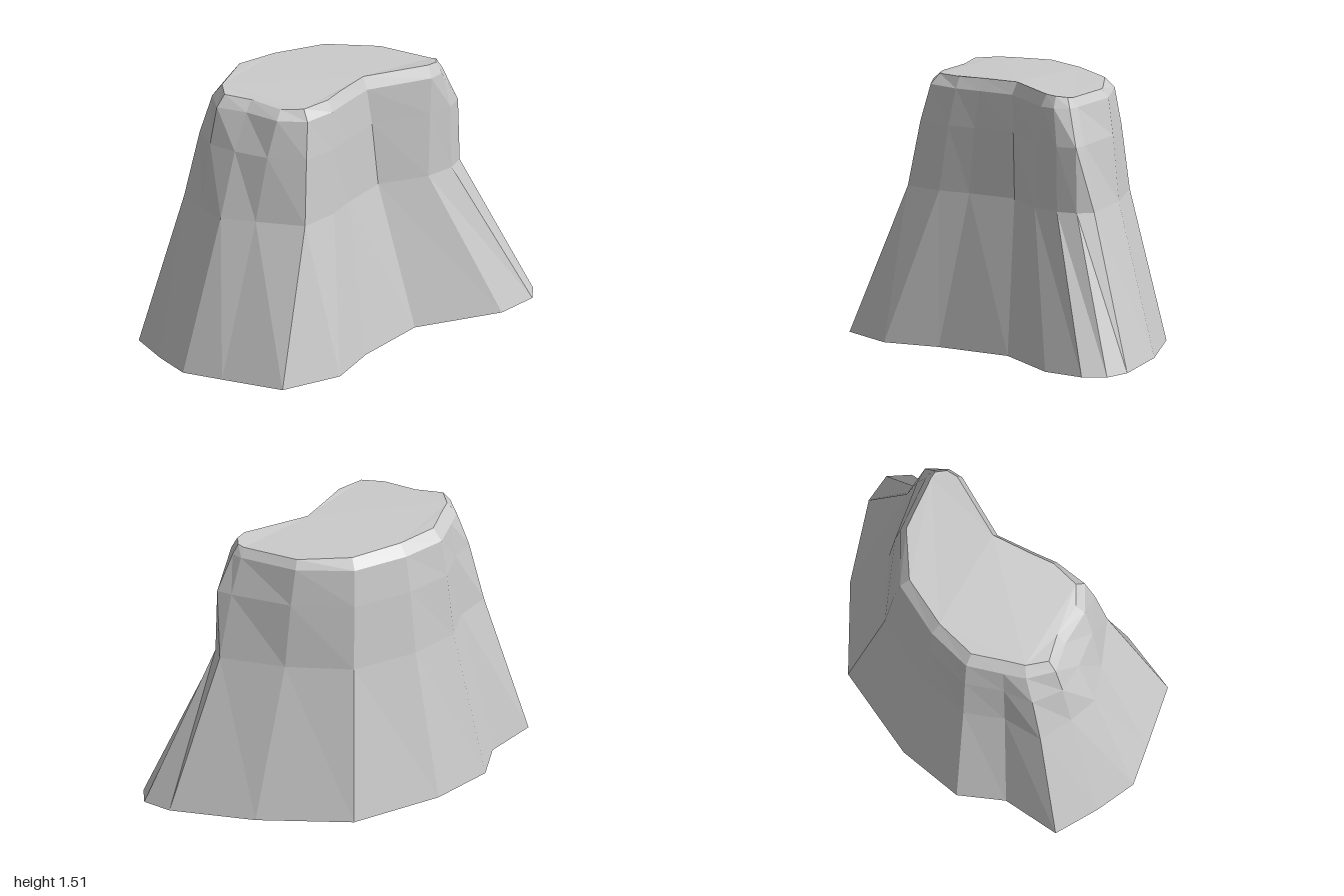
import * as THREE from 'three';

// Horizontal outlines of the rock, [x, z] pairs from the back right clockwise (seen from above)
const base = [[0.62, -1], [0.79, -0.96], [0.85, -0.83], [0.79, -0.57], [0.45, -0.16], [0.38, 0.31],
  [0.39, 0.65], [0.19, 0.97], [-0.18, 0.99], [-0.42, 1], [-0.63, 0.87], [-0.85, 0.7],
  [-0.77, 0.37], [-0.84, 0.1], [-0.71, -0.27], [-0.39, -0.73], [0.13, -0.92]];
const waist = [[0.44, -0.7], [0.5, -0.62], [0.51, -0.5], [0.45, -0.33], [0.25, -0.1], [0.22, 0.2],
  [0.22, 0.39], [0.155, 0.62], [-0.12, 0.69], [-0.32, 0.73], [-0.48, 0.65], [-0.65, 0.53],
  [-0.61, 0.3], [-0.66, 0.07], [-0.55, -0.22], [-0.31, -0.54], [0.06, -0.66]];
const rim = [[0.37, -0.56], [0.43, -0.54], [0.47, -0.46], [0.45, -0.37], [0.2, -0.06], [0.18, 0.16],
  [0.17, 0.31], [0.11, 0.5], [-0.05, 0.565], [-0.26, 0.53], [-0.44, 0.54], [-0.54, 0.4],
  [-0.56, 0.27], [-0.59, 0.06], [-0.48, -0.19], [-0.28, -0.46], [0.03, -0.58]];
const n = base.length;

// Shoulder lies between waist and rim; its back right corner stays steep
const shoulder = waist.map(([x, z], i) => {
  const t = i === 1 || i === 2 ? 0.1 : 0.55;
  return [x + (rim[i][0] - x) * t, z + (rim[i][1] - z) * t];
});

// Top edge is the rim moved inward, across the line joining its neighbours
const top = rim.map(([x, z], i) => {
  const [px, pz] = rim[(i + n - 1) % n];
  const [qx, qz] = rim[(i + 1) % n];
  const inset = (x < 0 || z > 0.4 ? 0.055 : 0.035) / Math.hypot(qx - px, qz - pz);
  return [x - (qz - pz) * inset, z + (qx - px) * inset];
});

function rockGeometry() {
  const lift = (outline, y) => outline.map(([x, z]) => [x, y, z]);
  const rings = [lift(base, 0), lift(waist, 0.86), lift(shoulder, 1.23), lift(rim, 1.44),
    // Slightly uneven top, highest on the left side
    top.map(([x, z], i) => [x, 1.49 + 0.02 * Math.abs(Math.sin(i * Math.PI / 8)), z])];
  const verts = [];
  const tri = (a, b, c) => verts.push(...a, ...b, ...c);

  // Faceted sides
  for (let s = 0; s < rings.length - 1; s++) {
    for (let i = 0; i < n; i++) {
      const j = (i + 1) % n;
      const [a, b, c, d] = [rings[s][i], rings[s][j], rings[s + 1][j], rings[s + 1][i]];
      tri(a, d, c);
      tri(a, c, b);
    }
  }

  // Underside and top
  const cap = (ring, up) => {
    const outline = ring.map(([x, , z]) => new THREE.Vector2(x, z));
    for (const [i, j, k] of THREE.ShapeUtils.triangulateShape(outline, [])) {
      const facesDown = THREE.ShapeUtils.area([outline[i], outline[j], outline[k]]) > 0;
      if (facesDown === up) tri(ring[i], ring[k], ring[j]);
      else tri(ring[i], ring[j], ring[k]);
    }
  };
  cap(rings[0], false);
  cap(rings[rings.length - 1], true);

  const geometry = new THREE.BufferGeometry();
  geometry.setAttribute('position', new THREE.Float32BufferAttribute(verts, 3));
  geometry.computeVertexNormals();
  return geometry;
}

export function createModel() {
  const group = new THREE.Group();
  group.name = 'rockFormation';
  const rock = new THREE.Mesh(rockGeometry(),
    new THREE.MeshStandardMaterial({ color: 0xcccccc, flatShading: true }));
  rock.name = 'rock';
  group.add(rock);
  return group;
}
